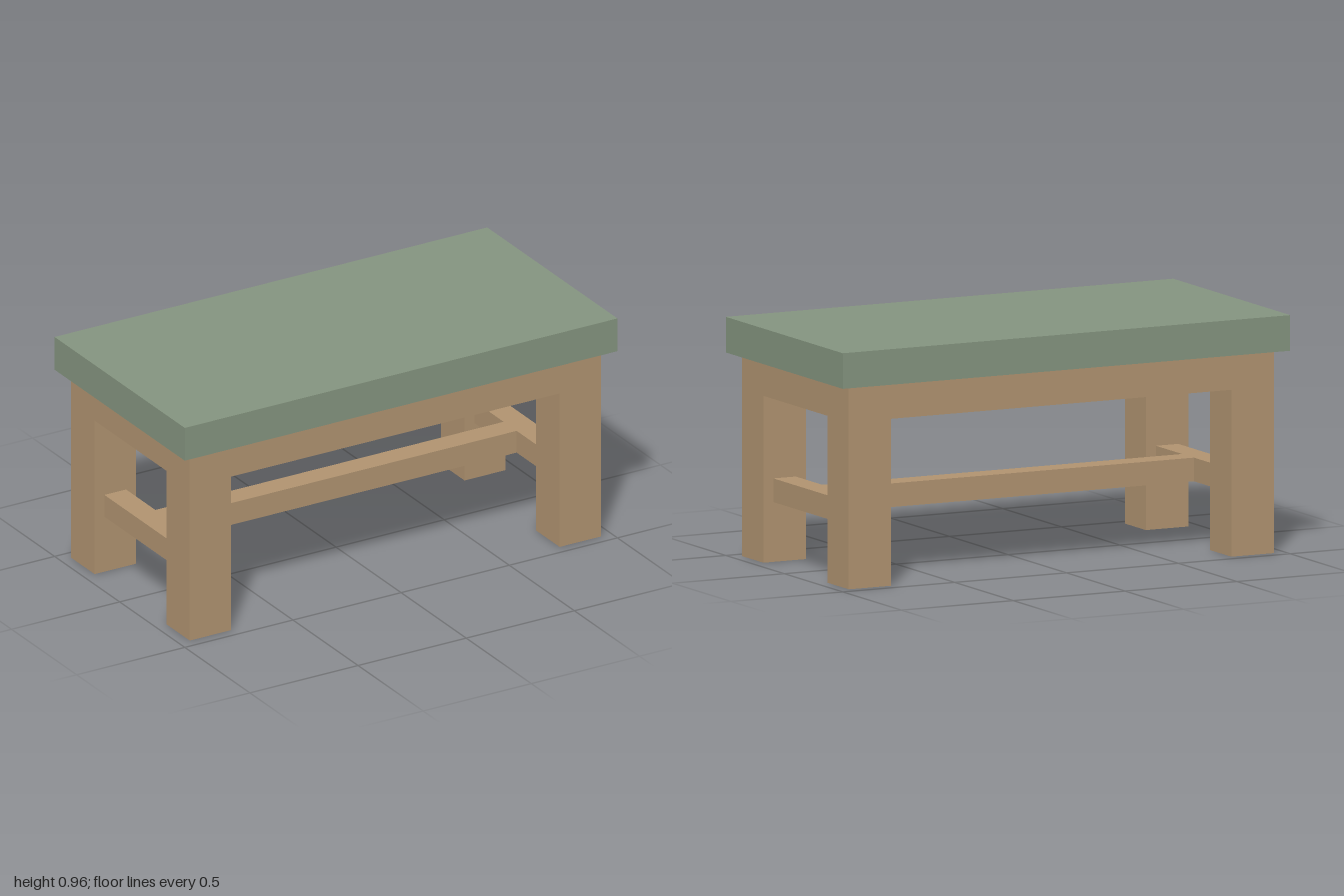
import * as THREE from 'three';

export function createModel() {
  const model = new THREE.Group();
  model.name = 'table';

  const wood = new THREE.MeshStandardMaterial({ color: 0xb09370 });
  wood.name = 'wood';
  const green = new THREE.MeshStandardMaterial({ color: 0x84947f });
  green.name = 'green top';

  // Box given by its size, its centre in x and z, and its bottom height
  function addBox(name, material, [w, h, d], [x, bottom, z]) {
    const mesh = new THREE.Mesh(new THREE.BoxGeometry(w, h, d), material);
    mesh.name = name;
    mesh.position.set(x, bottom + h / 2, z);
    model.add(mesh);
  }

  // Overhanging top slab and the solid frame under it
  addBox('tableTop', green, [2, 0.143, 1], [0, 0.815, 0]);
  addBox('apron', wood, [1.9, 0.145, 0.91], [0, 0.67, 0]);

  // Legs flush with the apron corners, joined by a stretcher at each end
  for (const side of [-1, 1]) {
    const sideName = side > 0 ? 'left' : 'right';
    for (const end of [-1, 1]) {
      const name = sideName + (end > 0 ? 'Front' : 'Back') + 'Leg';
      addBox(name, wood, [0.19, 0.67, 0.18], [side * 0.855, 0, end * 0.365]);
    }
    addBox(sideName + 'Stretcher', wood, [0.1, 0.095, 0.55], [side * 0.855, 0.24, 0]);
  }

  // Long stretcher between the end stretchers
  addBox('longStretcher', wood, [1.61, 0.095, 0.1], [0, 0.24, 0]);

  return model;
}
